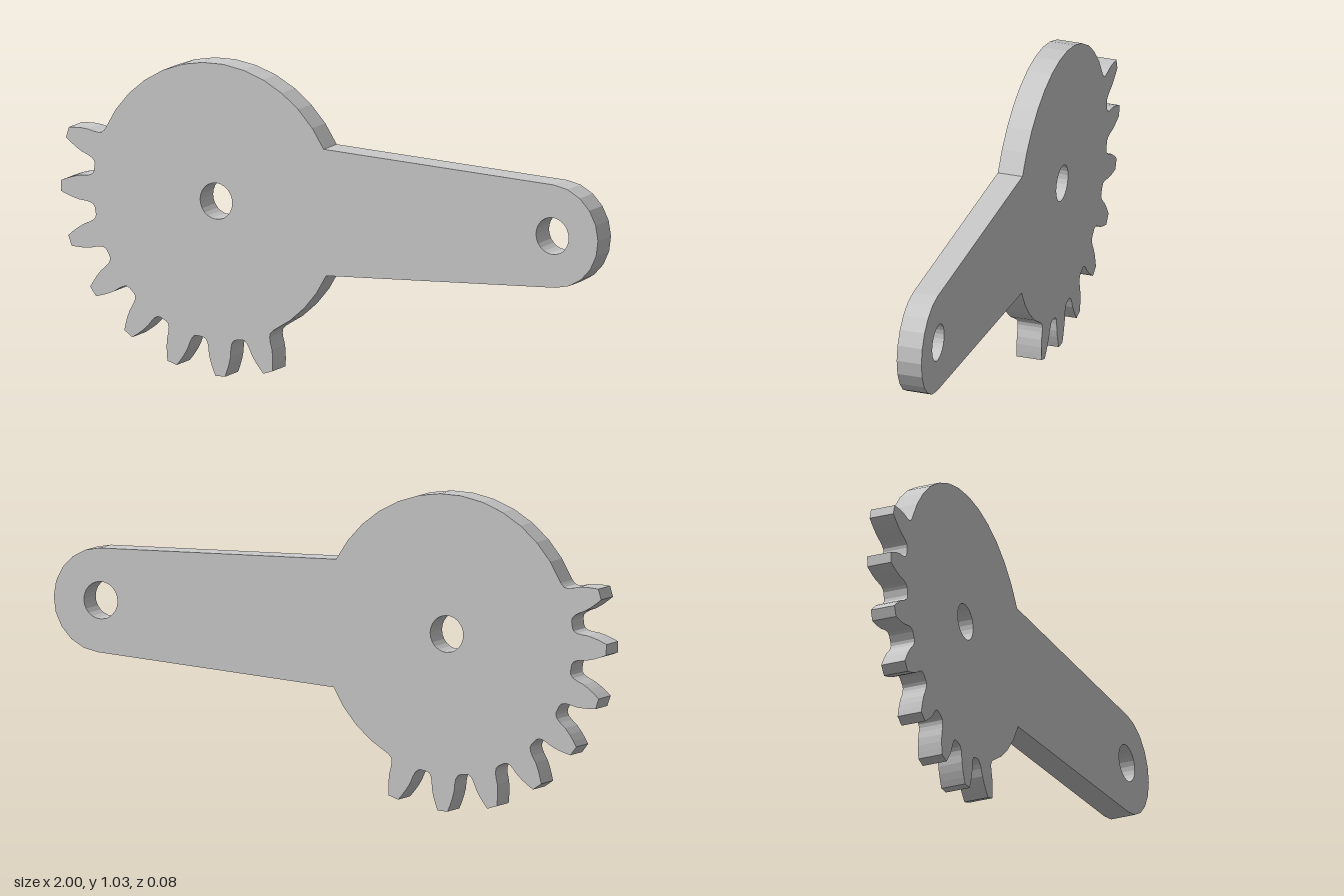
import * as THREE from 'three';

const GEAR = { x: -0.423, y: 0.578, root: 0.456, bore: 0.06 };
const PIN = { x: 0.83, y: 0.607, r: 0.17, bore: 0.061 };
const DEPTH = 0.084;
const rad = THREE.MathUtils.degToRad;

// Half tooth profile: [radius, half width], from root fillet to tip
const FLANK = [[0.454, 0.06], [0.459, 0.051], [0.47, 0.045], [0.485, 0.042],
  [0.51, 0.04], [0.535, 0.034], [0.558, 0.026], [0.578, 0.018]];

function arc(cx, cy, r, from, to, steps) {
  return Array.from({ length: steps + 1 }, (_, i) => {
    const a = rad(from + (to - from) * i / steps);
    return new THREE.Vector2(cx + r * Math.cos(a), cy + r * Math.sin(a));
  });
}

// One tooth, traced counter-clockwise, pointing along the given angle
function tooth(degrees) {
  const a = rad(degrees), c = Math.cos(a), s = Math.sin(a);
  const place = (r, w) => new THREE.Vector2(GEAR.x + r * c - w * s, GEAR.y + r * s + w * c);
  return [
    ...FLANK.map(([r, w]) => place(r, -w)),
    ...[...FLANK].reverse().map(([r, w]) => place(r, w)),
  ];
}

function bore(cx, cy, r) {
  return new THREE.Path(arc(cx, cy, r, 360, 0, 24).slice(0, -1));
}

export function createModel() {
  const group = new THREE.Group();
  group.name = 'gearSectorLever';

  // Smooth rim of the disc, then eight teeth, then the rim up to the arm
  const outline = arc(GEAR.x, GEAR.y, GEAR.root, 28.5, 155, 13);
  for (let i = 0; i < 8; i++) outline.push(...tooth(163.5 + 18 * i));
  outline.push(...arc(GEAR.x, GEAR.y, GEAR.root, 298, 334, 4));

  // Tapered arm with its rounded end
  outline.push(...arc(PIN.x, PIN.y, PIN.r, -86, 88, 10));

  const shape = new THREE.Shape(outline);
  shape.holes.push(bore(GEAR.x, GEAR.y, GEAR.bore), bore(PIN.x, PIN.y, PIN.bore));

  const geometry = new THREE.ExtrudeGeometry(shape, { depth: DEPTH, bevelEnabled: false });
  geometry.translate(0, 0, -DEPTH / 2);
  const lever = new THREE.Mesh(geometry,
    new THREE.MeshStandardMaterial({ color: 0xcccccc, flatShading: true }));
  lever.name = 'toothedLeverPlate';
  group.add(lever);
  return group;
}
